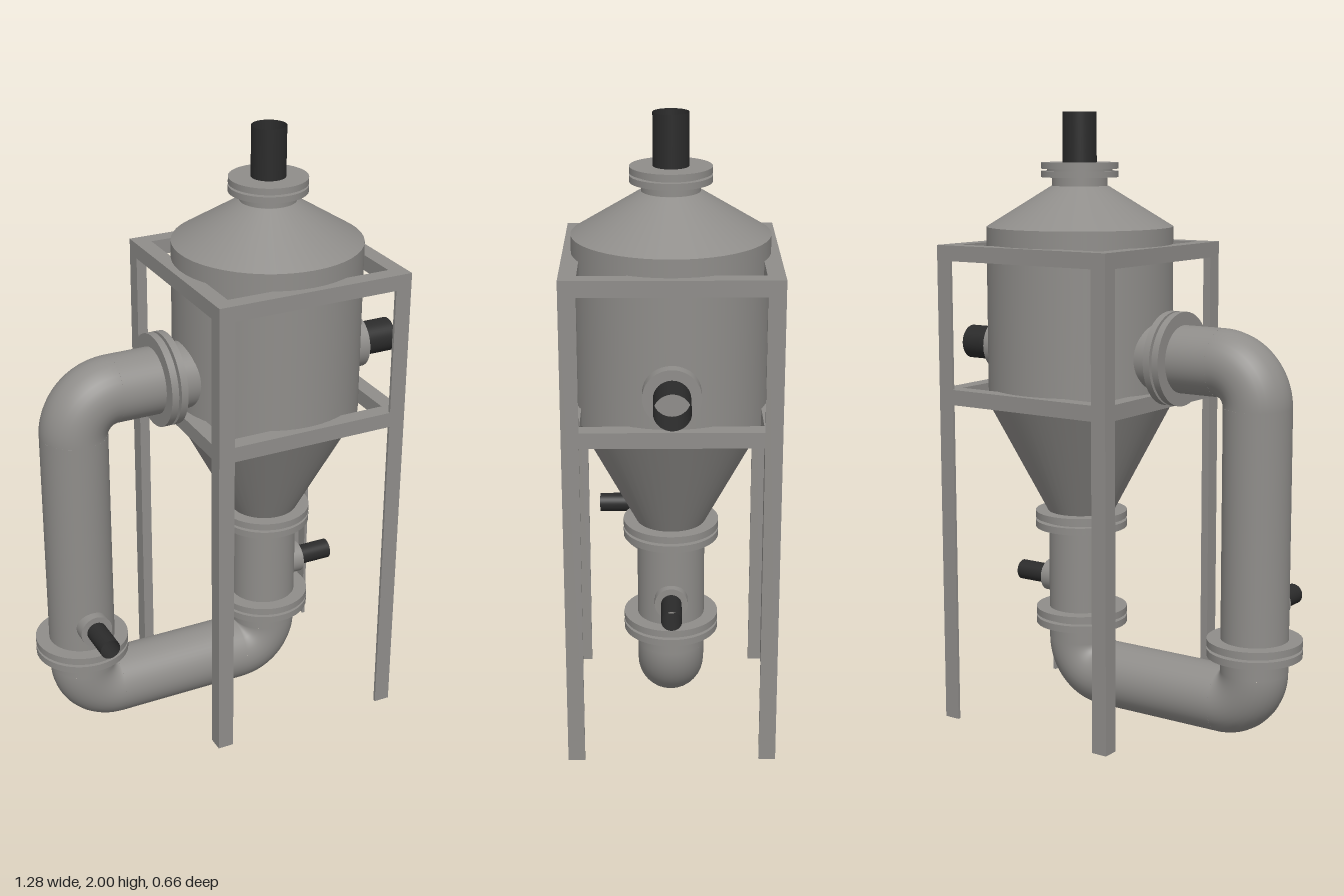
import * as THREE from 'three';

export function createModel() {
  const model = new THREE.Group();
  const steel = new THREE.MeshStandardMaterial({ color: 0x8f8d8a });
  steel.name = 'grey steel';
  const rubber = new THREE.MeshStandardMaterial({ color: 0x2b2b2b, side: THREE.DoubleSide });
  rubber.name = 'dark hose';

  const V = (x, y, z) => new THREE.Vector3(x, y, z);
  const add = (name, geometry, material, parent = model) => {
    const mesh = new THREE.Mesh(geometry, material);
    mesh.name = name;
    parent.add(mesh);
    return mesh;
  };
  // Round section running from point a (radius ra) to point b (radius rb)
  const round = (name, a, b, ra, rb = ra, material = steel, open = false) => {
    const dir = b.clone().sub(a);
    const mesh = add(name, new THREE.CylinderGeometry(rb, ra, dir.length(), 48, 1, open), material);
    mesh.position.copy(a).add(b).multiplyScalar(0.5);
    mesh.quaternion.setFromUnitVectors(V(0, 1, 0), dir.normalize());
    return mesh;
  };
  // Pair of flange discs with a recessed gasket, centred on c along axis
  const flange = (name, c, axis, r, disc = 0.023, gap = 0.009) => {
    const at = (d) => c.clone().addScaledVector(axis, d);
    const h = gap / 2;
    round(name + 'Lower', at(-h - disc), at(-h), r);
    round(name + 'Upper', at(h), at(h + disc), r);
    round(name + 'Gasket', at(-h), at(h), r * 0.85);
  };

  const X = V(1, 0, 0), Y = V(0, 1, 0);
  const cx = 0.182, px = -0.49, R = 0.108;
  const lowY = 0.145, highY = 1.23;

  // Vessel
  round('vesselShell', V(cx, 1.06, 0), V(cx, 1.635, 0), 0.303);
  round('vesselRoof', V(cx, 1.635, 0), V(cx, 1.765, 0), 0.303, 0.092);
  round('hopper', V(cx, 0.69, 0), V(cx, 1.06, 0), R, 0.303);
  round('topNeck', V(cx, 1.75, 0), V(cx, 1.8, 0), 0.09);
  flange('topFlange', V(cx, 1.816, 0), Y, 0.125, 0.02, 0.007);
  round('topHose', V(cx, 1.83, 0), V(cx, 2, 0), 0.055, 0.055, rubber, true);

  // Side nozzles, each a collar with an open hose
  round('vesselCollar', V(0.45, 1.227, 0), V(0.522, 1.227, 0), 0.088);
  round('vesselHose', V(0.52, 1.227, 0), V(0.638, 1.227, 0), 0.056, 0.056, rubber, true);
  round('outletCollar', V(0.25, 0.45, 0), V(0.315, 0.45, 0), 0.053);
  round('outletHose', V(0.314, 0.45, 0), V(0.43, 0.45, 0), 0.033, 0.033, rubber, true);
  round('riserCollar', V(px, 0.45, 0.07), V(px, 0.45, 0.137), 0.053);
  round('riserHose', V(px, 0.45, 0.136), V(px, 0.45, 0.25), 0.033, 0.033, rubber, true);

  // Loop piping: straight runs joined by quarter bends
  const elbow = (name, x, y, bend, angle) => {
    const mesh = add(name, new THREE.TorusGeometry(bend, R, 32, 24, Math.PI / 2), steel);
    mesh.position.set(x, y, 0);
    mesh.rotation.z = angle;
  };
  const b = 0.11, t = 0.13;
  round('outletPipe', V(cx, lowY + b, 0), V(cx, 0.69, 0), R);
  elbow('outletBend', cx - b, lowY + b, b, Math.PI * 1.5);
  round('crossPipe', V(px + b, lowY, 0), V(cx - b, lowY, 0), R);
  elbow('riserBend', px + b, lowY + b, b, Math.PI);
  round('riserPipe', V(px, lowY + b, 0), V(px, highY - t, 0), R);
  elbow('returnBend', px + t, highY - t, t, Math.PI / 2);
  round('returnPipe', V(px + t, highY, 0), V(-0.08, highY, 0), R);
  flange('hopperFlange', V(cx, 0.667, 0), Y, 0.152);
  flange('outletFlange', V(cx, 0.336, 0), Y, 0.152);
  flange('riserFlange', V(px, 0.336, 0), Y, 0.152);
  flange('returnFlange', V(-0.191, highY, 0), X, 0.15);

  // Support frame: angle-iron legs and two rings of beams
  const frame = new THREE.Group();
  frame.name = 'supportFrame';
  frame.position.x = cx;
  model.add(frame);
  const half = 0.328, w = 0.053, thick = 0.01, top = 1.58;

  const angle = new THREE.Shape([[0, 0], [w, 0], [w, thick], [thick, thick], [thick, w], [0, w]]
    .map(([x, y]) => new THREE.Vector2(x, y)));
  const legGeometry = new THREE.ExtrudeGeometry(angle, { depth: top - 0.002, bevelEnabled: false });
  legGeometry.rotateX(-Math.PI / 2);
  for (let i = 0; i < 4; i++) {
    const corner = new THREE.Group();
    corner.name = 'frameCorner';
    corner.rotation.y = i * Math.PI / 2;
    frame.add(corner);
    add('leg', legGeometry, steel, corner).position.set(-half, 0, half);
  }

  const square = (s) => [[-s, -s], [s, -s], [s, s], [-s, s]].map(([x, y]) => new THREE.Vector2(x, y));
  const ring = new THREE.Shape(square(half));
  ring.holes.push(new THREE.Path(square(half - w)));
  const ringGeometry = new THREE.ExtrudeGeometry(ring, { depth: 0.05, bevelEnabled: false });
  ringGeometry.rotateX(-Math.PI / 2);
  add('topRing', ringGeometry, steel, frame).position.y = top - 0.05;
  add('middleRing', ringGeometry, steel, frame).position.y = 1.065;

  return model;
}
